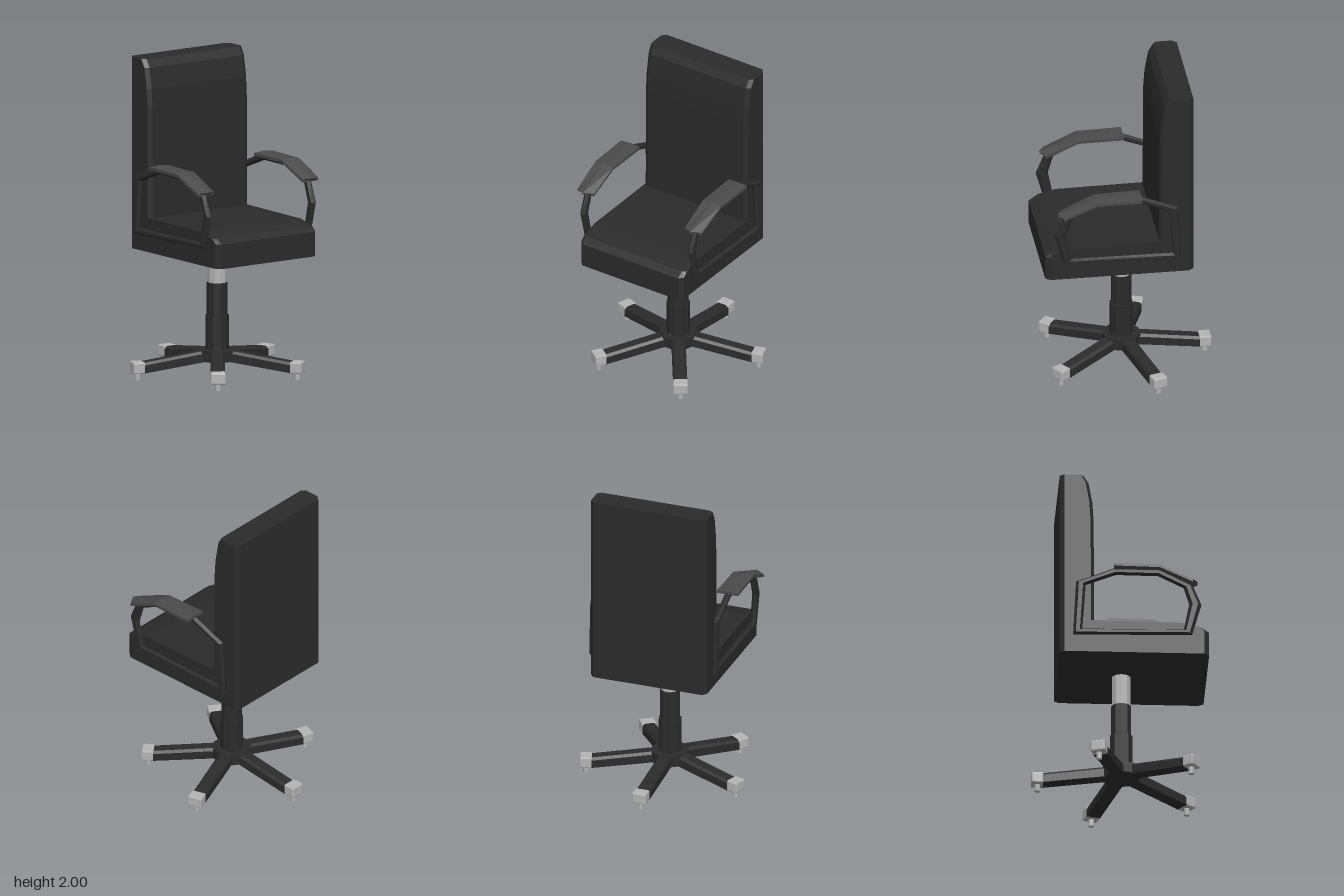
import * as THREE from 'three';
import { RoundedBoxGeometry } from 'three/addons/geometries/RoundedBoxGeometry.js';

const material = (color) => new THREE.MeshStandardMaterial({ color, flatShading: true });
const black = material(0x2b2b2b);
const padGrey = material(0x4a4a4a);
const metal = material(0xb4b4b4);

function add(parent, name, geometry, mat, x = 0, y = 0, z = 0) {
  const mesh = new THREE.Mesh(geometry, mat);
  mesh.name = name;
  mesh.position.set(x, y, z);
  parent.add(mesh);
  return mesh;
}

// Skin over a row of cross-sections; the ends are fanned shut unless the row is a closed loop
function loft(rings, loop = false) {
  const n = rings[0].length, last = rings.length - 1, index = [];
  for (let i = 0; i < (loop ? last + 1 : last); i++) {
    const a = i * n, b = ((i + 1) % rings.length) * n;
    for (let j = 0; j < n; j++) {
      const k = (j + 1) % n;
      index.push(a + j, a + k, b + k, a + j, b + k, b + j);
    }
  }
  if (!loop) {
    for (let j = 1; j < n - 1; j++) {
      index.push(0, j + 1, j, last * n, last * n + j, last * n + j + 1);
    }
  }
  const g = new THREE.BufferGeometry();
  g.setAttribute('position', new THREE.Float32BufferAttribute(rings.flat(2), 3));
  g.setIndex(index);
  const flat = g.toNonIndexed();
  flat.computeVertexNormals();
  return flat;
}

// Upholstered seat and backrest: one L profile with chamfered vertical edges
function cushionGeometry() {
  const full = [[-0.17, 1.005], [-0.174, 1.7], [-0.182, 1.82], [-0.205, 1.95], [-0.235, 2],
    [-0.385, 2], [-0.385, 0.79], [0.545, 0.79], [0.545, 0.945], [0.5, 0.975], [0.37, 1.0]];
  const insets = [-0.02, -0.02, -0.02, -0.02, -0.02, 0.03, 0.03, -0.03, -0.03, -0.02, 0];
  const side = full.map(([x, y], i) => [x + insets[i], y]);
  return loft([[side, -0.385], [full, -0.36], [full, 0.36], [side, 0.385]]
    .map(([profile, z]) => profile.map(([x, y]) => [x, y, z])));
}

// Arm loop: outer and inner outlines joined by a six-sided section
function armLoopGeometry() {
  const outer = [[-0.304, 0.893], [-0.285, 1.257], [-0.055, 1.35], [0.235, 1.35],
    [0.44, 1.246], [0.495, 1.114], [0.437, 0.907]];
  const inner = [[-0.246, 0.936], [-0.225, 1.235], [-0.035, 1.308], [0.225, 1.305],
    [0.385, 1.225], [0.418, 1.114], [0.385, 0.942]];
  const section = [[0, 0], [0.28, 0.018], [0.72, 0.018], [1, 0], [0.72, -0.018], [0.28, -0.018]];
  return loft(outer.map(([x, y], i) => section.map(([t, z]) =>
    [x + (inner[i][0] - x) * t, y + (inner[i][1] - y) * t, z])), true);
}

// Arm pad: thin ridged strip with a pointed, drooping front
function armPadGeometry() {
  const stations = [[-0.05, -0.05, 1.364, 0.07], [0.235, 0.235, 1.36, 0.067], [0.44, 0.475, 1.268, 0.061]];
  return loft(stations.map(([edgeX, midX, y, w]) => [
    [midX, y - 0.016, 0], [edgeX, y - 0.024, w * 0.5], [edgeX, y - 0.024, w],
    [edgeX, y - 0.006, w], [midX, y, 0], [edgeX, y - 0.006, -w],
    [edgeX, y - 0.024, -w], [edgeX, y - 0.024, -w * 0.5],
  ].reverse()));
}

// Base leg: sloping bar with chamfered top edges
function legGeometry() {
  return loft([[0.06, 0.1, 0.17], [0.49, 0.047, 0.113]].map(([x, low, high]) => [
    [x, low, 0.044], [x, low, -0.044], [x, high - 0.016, -0.044],
    [x, high, -0.03], [x, high, 0.03], [x, high - 0.016, 0.044],
  ]));
}

export function createModel() {
  const chair = new THREE.Group();
  chair.name = 'officeChair';
  add(chair, 'seatAndBackrest', cushionGeometry(), black);

  // Armrests
  for (const [name, z] of [['Front', 0.405], ['Rear', -0.405]]) {
    const arm = new THREE.Group();
    arm.name = 'armrest' + name;
    arm.position.z = z;
    add(arm, 'armLoop', armLoopGeometry(), black);
    add(arm, 'armPad', armPadGeometry(), padGrey);
    chair.add(arm);
  }

  // Telescopic column and star base share one axis
  const base = new THREE.Group();
  base.name = 'base';
  base.position.x = 0.015;
  chair.add(base);
  const column = (name, r, low, high, mat, sides = 10) =>
    add(base, name, new THREE.CylinderGeometry(r, r, high - low, sides), mat, 0, (low + high) / 2, 0);
  column('gasLift', 0.06, 0.57, 0.8, metal);
  column('upperSleeve', 0.065, 0.37, 0.59, black);
  column('lowerSleeve', 0.073, 0.15, 0.385, black);
  column('hub', 0.12, 0.098, 0.168, black);

  // Five legs with end caps and casters
  for (let i = 0; i < 5; i++) {
    const leg = new THREE.Group();
    leg.name = 'leg' + (i + 1);
    leg.rotation.y = Math.PI + i * Math.PI * 2 / 5;
    add(leg, 'legBar', legGeometry(), black);
    add(leg, 'legCap', new RoundedBoxGeometry(0.076, 0.072, 0.092, 1, 0.008), metal, 0.522, 0.081, 0);
    add(leg, 'caster', new THREE.CylinderGeometry(0.018, 0.018, 0.05, 8), metal, 0.522, 0.025, 0);
    base.add(leg);
  }
  return chair;
}
